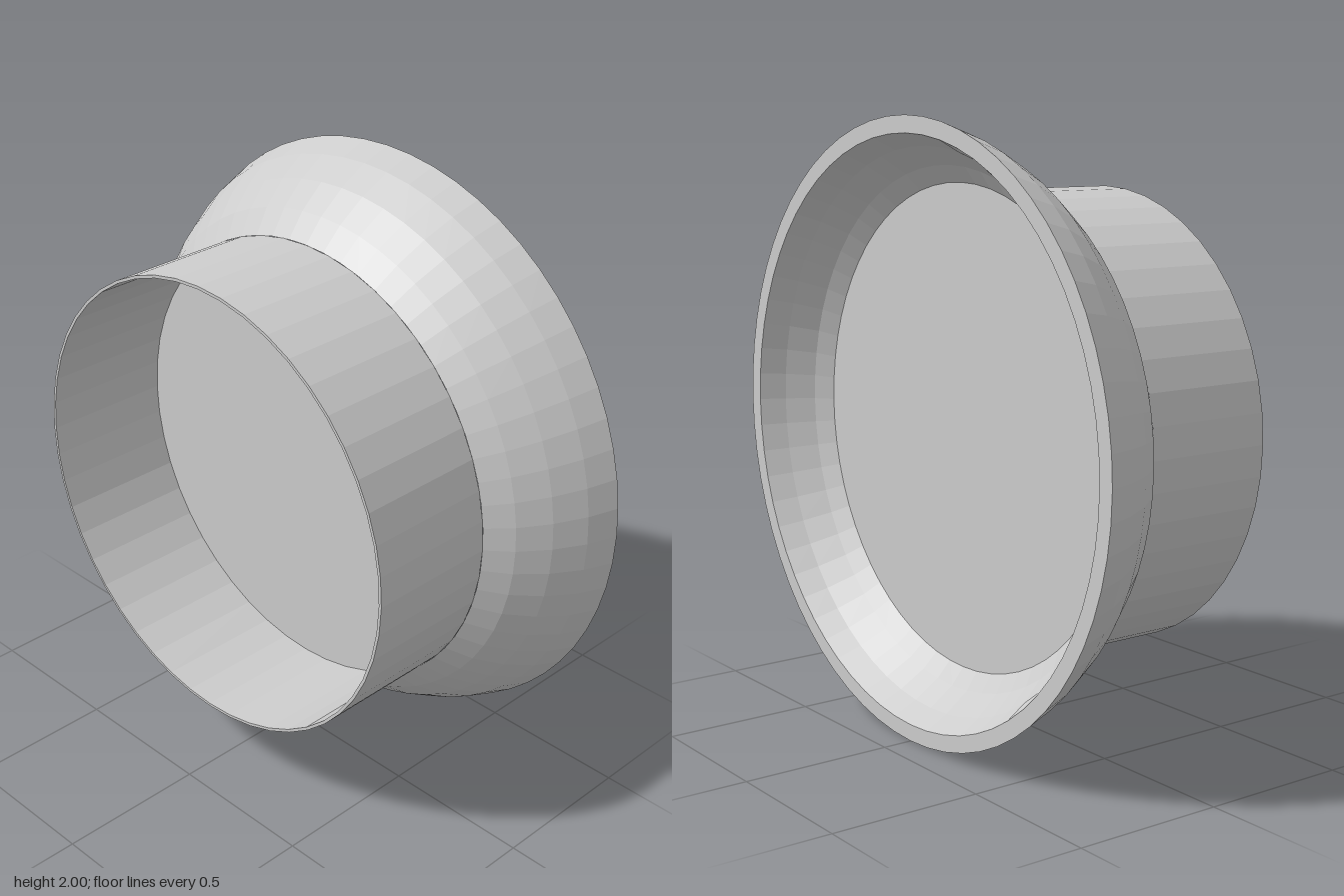
import * as THREE from 'three';

const grey = new THREE.MeshStandardMaterial({ color: 0xcccccc });
grey.name = 'plainGrey';

// Faceted solid of revolution about the z axis, from [radius, z] pairs
function turned(name, profile, segments) {
  const points = profile.map(([r, z]) => new THREE.Vector2(r, z));
  const geometry = new THREE.LatheGeometry(points, segments).toNonIndexed();
  geometry.rotateX(Math.PI / 2);
  geometry.computeVertexNormals();
  const mesh = new THREE.Mesh(geometry, grey);
  mesh.name = name;
  mesh.position.y = 1;
  return mesh;
}

export function createModel() {
  const model = new THREE.Group();
  model.name = 'flaredCap';

  // Flared dish: recessed floor, inner wall, flat back rim, curved outside
  model.add(turned('flaredDish', [
    [0, -0.19], [0.79, -0.19], [0.845, -0.235], [0.905, -0.32], [0.945, -0.4],
    [1, -0.4], [0.965, -0.3], [0.91, -0.2], [0.84, -0.11], [0.765, -0.045],
  ], 64));

  // Thin-walled collar, open at the front with a floor at the dish
  model.add(turned('frontCollar', [
    [0.765, -0.045], [0.765, 0.4], [0.755, 0.4], [0.755, -0.05], [0, -0.05],
  ], 48));

  return model;
}
